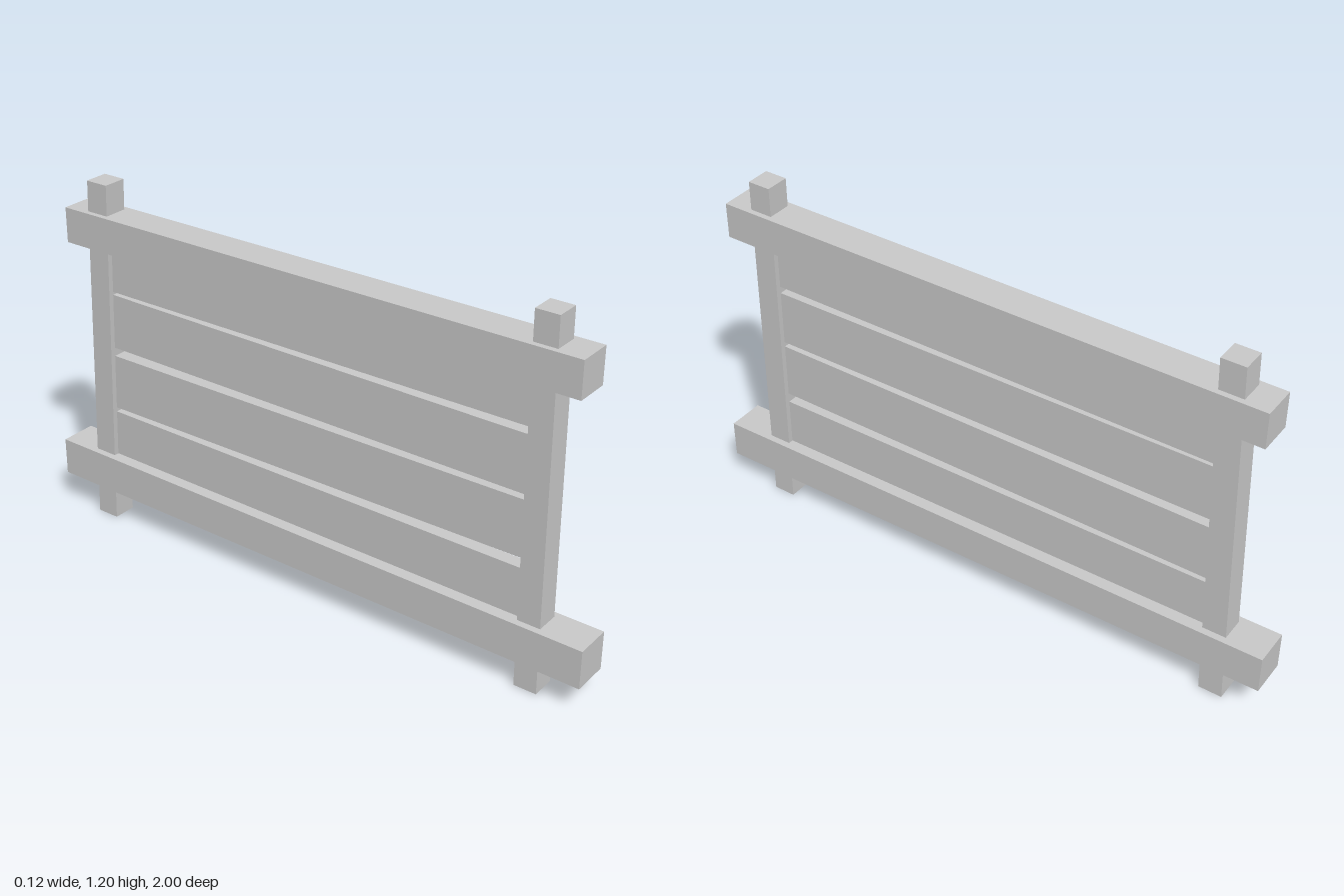
import * as THREE from 'three';

const material = new THREE.MeshStandardMaterial({ color: 0xcccccc, flatShading: true });

// A hand-cut timber: outline corners given as [z, y], sawn to a thickness along x.
function timber(name, corners, thickness) {
  const shape = new THREE.Shape(corners.map(([z, y]) => new THREE.Vector2(-z, y)));
  const geometry = new THREE.ExtrudeGeometry(shape, { depth: thickness, bevelEnabled: false });
  geometry.translate(0, 0, -thickness / 2);
  geometry.rotateY(Math.PI / 2);
  const mesh = new THREE.Mesh(geometry, material);
  mesh.name = name;
  return mesh;
}

// Horizontal timber: bottom and top heights at its front and back ends.
function beam(name, zFront, zBack, [f0, f1], [b0, b1], thickness) {
  return timber(name, [[zFront, f0], [zBack, b0], [zBack, b1], [zFront, f1]], thickness);
}

// Upright timber: the z of its two edges at the foot and at the head.
function post(name, [foot0, foot1], [head0, head1]) {
  return timber(name, [[foot0, 0], [foot1, 0], [head1, 1.2], [head0, 1.2]], 0.08);
}

export function createModel() {
  const group = new THREE.Group();
  group.name = 'fencePanel';

  // Slightly leaning posts
  group.add(post('frontPost', [0.853, 0.777], [0.842, 0.765]));
  group.add(post('backPost', [-0.8, -0.878], [-0.761, -0.84]));

  // Thick rails gripping the posts
  group.add(beam('bottomRail', 1, -1, [0.097, 0.225], [0.118, 0.245], 0.125));
  group.add(beam('topRail', 0.93, -0.925, [0.986, 1.104], [0.981, 1.098], 0.116));

  // Thin uneven planks set between the posts
  const planks = [
    [[0.2, 0.39], [0.215, 0.403]],
    [[0.424, 0.613], [0.418, 0.608]],
    [[0.63, 0.818], [0.638, 0.826]],
    [[0.842, 1.03], [0.836, 1.025]],
  ];
  planks.forEach(([front, back], i) => {
    group.add(beam(`plank${i + 1}`, 0.8, -0.81, front, back, 0.045));
  });

  return group;
}
